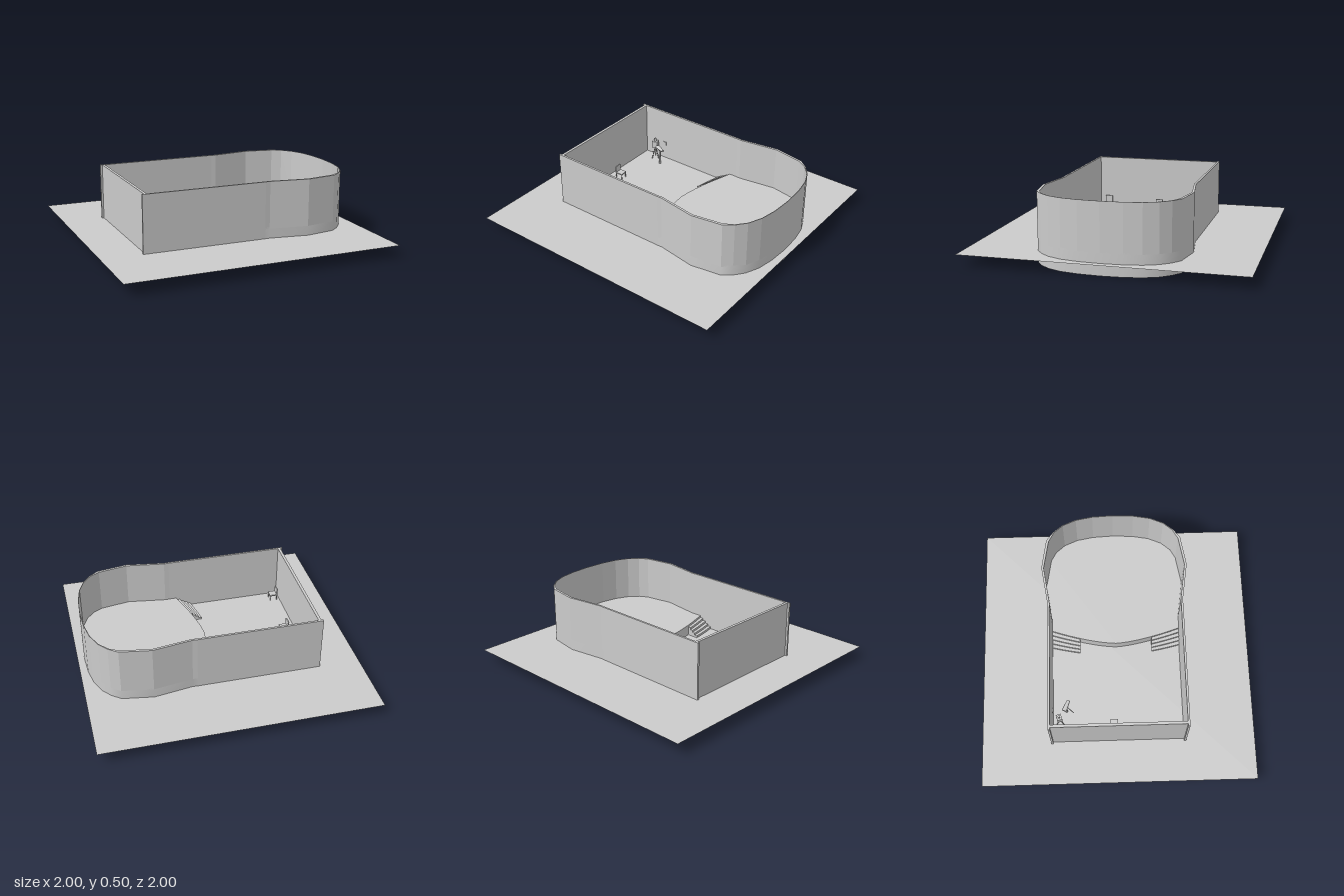
import * as THREE from 'three';

const FLOOR = 0.085, STAGE = 0.165, TOP = 0.5;

export function createModel() {
  const root = new THREE.Group();
  root.name = 'walledHall';
  const mat = new THREE.MeshStandardMaterial({ color: 0xcccccc, side: THREE.DoubleSide });

  const add = (name, geo, x = 0, y = 0, z = 0, parent = root) => {
    const m = new THREE.Mesh(geo, mat);
    m.name = name;
    m.position.set(x, y, z);
    parent.add(m);
    return m;
  };
  const box = (name, x0, x1, y0, y1, z0, z1, parent = root) =>
    add(name, new THREE.BoxGeometry(x1 - x0, y1 - y0, z1 - z0),
      (x0 + x1) / 2, (y0 + y1) / 2, (z0 + z1) / 2, parent);
  // round bar between two points
  const bar = (name, a, b, r, parent) => {
    const p = new THREE.Vector3(...a), q = new THREE.Vector3(...b), d = q.clone().sub(p);
    const m = add(name, new THREE.CylinderGeometry(r, r, d.length(), 8), 0, 0, 0, parent);
    m.position.copy(p).add(q).multiplyScalar(0.5);
    m.quaternion.setFromUnitVectors(new THREE.Vector3(0, 1, 0), d.normalize());
    return m;
  };
  // plan outline of [x, z] points laid flat
  const plan = pts => new THREE.Shape(pts.map(([x, z]) => new THREE.Vector2(x, -z)));
  const slab = (name, pts, y0, y1) => add(name,
    new THREE.ExtrudeGeometry(plan(pts), { depth: y1 - y0, bevelEnabled: false }).rotateX(-Math.PI / 2), 0, y0, 0);
  const mirror = half => [...half, ...half.slice(0, -1).reverse().map(([x, z]) => [x, -z])];

  // ground sheet
  add('ground', new THREE.PlaneGeometry(2, 2).rotateX(-Math.PI / 2), 0, FLOOR, 0);

  // straight walls
  for (const s of [-1, 1]) {
    const w = box('sideWall', -0.7, 0.21, 0.078, TOP, -0.0075, 0.0075);
    w.position.z = s * 0.4875;
  }
  box('endWall', -0.685, -0.665, 0.078, TOP, -0.48, 0.48);

  // curved wall, thinning towards the far end
  const outer = mirror([[0.21, -0.495], [0.245, -0.493], [0.53, -0.537], [0.755, -0.5], [0.82, -0.45],
    [0.877, -0.38], [0.92, -0.28], [0.943, -0.155], [0.951, 0]]);
  const inner = mirror([[0.21, -0.48], [0.245, -0.478], [0.53, -0.52], [0.745, -0.483], [0.814, -0.445],
    [0.873, -0.377], [0.916, -0.278], [0.939, -0.154], [0.947, 0]]);
  slab('curvedWall', [...outer, ...inner.slice().reverse()], 0.155, TOP);

  // raised stage with a bowed front edge
  const edge = z => 0.045 + 0.115 * Math.pow(Math.abs(z) / 0.49, 1.5);
  const front = [];
  for (let i = 0; i <= 20; i++) {
    const z = 0.49 - i * 0.049;
    front.push([edge(z), z]);
  }
  const stage = [...outer, ...front];
  add('stageFloor', new THREE.ShapeGeometry(plan(stage)).rotateX(-Math.PI / 2), 0, STAGE, 0);

  // stage skirt, open underneath
  const pos = [], idx = [], n = stage.length;
  stage.forEach(([x, z], i) => {
    const a = 2 * i, b = 2 * ((i + 1) % n);
    pos.push(x, 0, z, x, STAGE, z);
    idx.push(a, a + 1, b, b, a + 1, b + 1);
  });
  const skirt = new THREE.BufferGeometry();
  skirt.setAttribute('position', new THREE.Float32BufferAttribute(pos, 3));
  skirt.setIndex(idx);
  skirt.computeVertexNormals();
  add('stageSkirt', skirt);

  // curved steps on both sides of the stage front
  const STEPS = 4;
  for (const s of [-1, 1]) {
    for (let k = 0; k < STEPS; k++) {
      const pts = [], back = [];
      for (let i = 0; i <= 6; i++) {
        const t = i / 6, z = 0.27 + t * 0.21, run = (0.09 + 0.02 * t) / STEPS;
        pts.push([edge(z) - run * (STEPS - k), s * z]);
        back.unshift([edge(z), s * z]);
      }
      slab('step', [...pts, ...back], FLOOR, FLOOR + (STAGE - FLOOR) * (k + 1) / (STEPS + 1));
    }
  }

  // low chairs along the end wall
  const chair = (x, z, turn) => {
    const g = new THREE.Group();
    g.name = 'chair';
    g.position.set(x, FLOOR, z);
    g.rotation.y = turn;
    root.add(g);
    box('seat', -0.03, 0.03, 0.04, 0.05, -0.028, 0.028, g);
    box('backrest', -0.032, -0.024, 0.05, 0.1, -0.028, 0.028, g);
    for (const sx of [-1, 1]) for (const sz of [-1, 1])
      bar('leg', [sx * 0.026, 0, sz * 0.024], [sx * 0.026, 0.04, sz * 0.024], 0.003, g);
  };
  chair(-0.57, -0.03, 0.05);
  chair(-0.615, 0.405, 0);

  // tripod carrying a small box head
  const tripod = new THREE.Group();
  tripod.name = 'tripod';
  tripod.position.set(-0.54, FLOOR, -0.43);
  root.add(tripod);
  for (let i = 0; i < 3; i++) {
    const a = i * Math.PI * 2 / 3 + 2;
    bar('tripodLeg', [0.03 * Math.cos(a), 0, 0.03 * Math.sin(a)], [0, 0.11, 0], 0.003, tripod);
  }
  box('tripodHead', -0.022, 0.022, 0.1, 0.155, -0.018, 0.018, tripod).rotation.y = 0.3;
  bar('tripodCap', [0, 0.15, 0], [0, 0.18, 0], 0.009, tripod);

  // post with a tapered arm and a side handle
  const stand = new THREE.Group();
  stand.name = 'stand';
  stand.position.set(-0.455, 0, -0.38);
  root.add(stand);
  bar('post', [0, 0.065, 0], [0, 0.22, 0], 0.008, stand);
  const arm = add('arm', new THREE.CylinderGeometry(0.012, 0.019, 0.085, 10).rotateZ(-Math.PI / 2), 0.005, 0.222, 0.003, stand);
  arm.scale.y = 0.6;
  arm.rotation.y = -0.4;
  bar('handle', [0, 0.215, 0.006], [-0.045, 0.2, 0.055], 0.003, stand);

  // small plate on the side wall
  box('wallPlate', -0.495, -0.465, 0.2, 0.23, -0.48, -0.474);
  return root;
}
